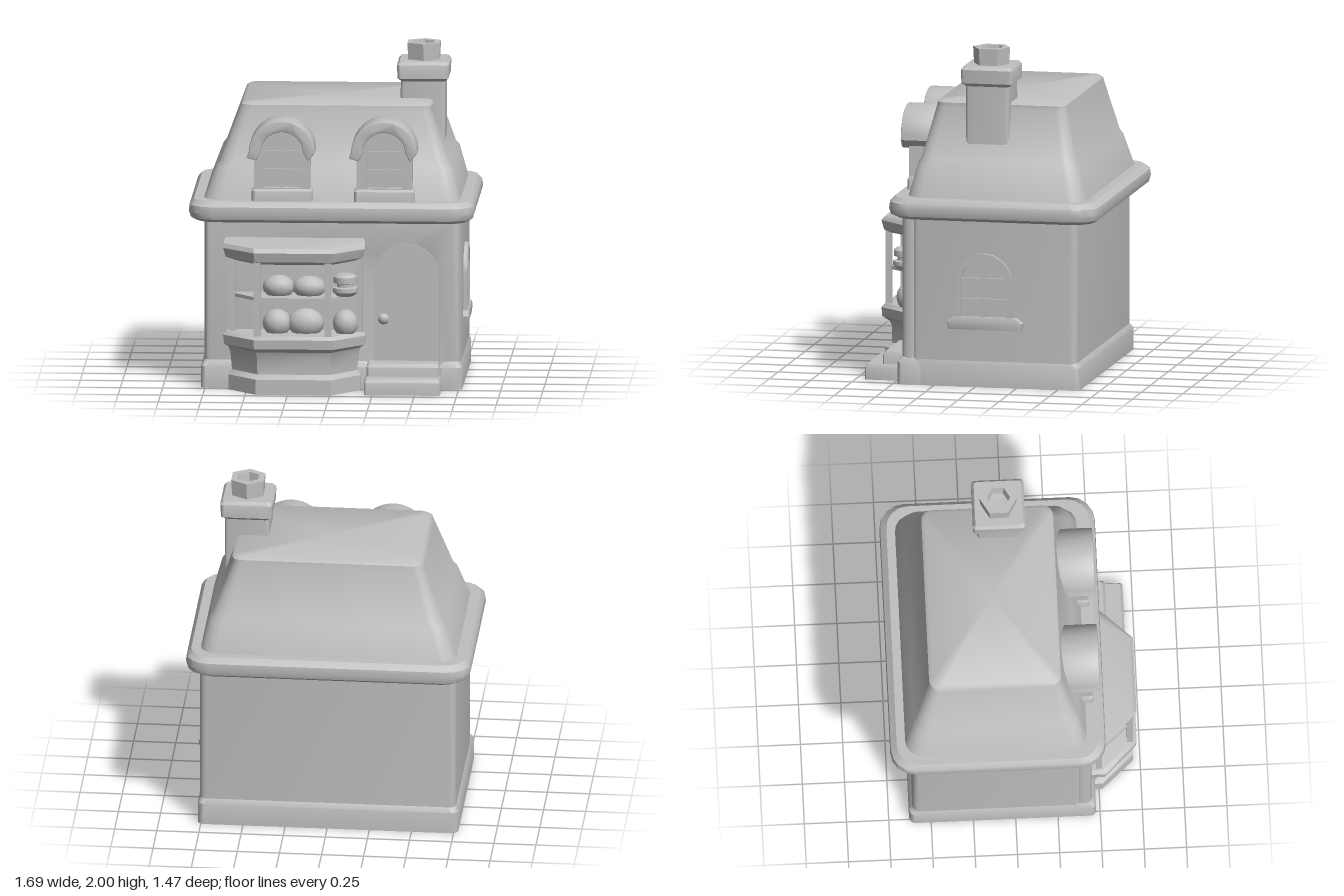
import * as THREE from 'three';
import { toCreasedNormals } from 'three/addons/utils/BufferGeometryUtils.js';

const clay = new THREE.MeshStandardMaterial({ color: 0xbfbfbf });
clay.name = 'plain grey';

function add(parent, name, geo, x = 0, y = 0, z = 0) {
  const m = new THREE.Mesh(toCreasedNormals(geo, 0.65), clay);
  m.name = name;
  m.position.set(x, y, z);
  parent.add(m);
  return m;
}

// Closed solid through convex rings of [x, y, z], listed from bottom to top
function loft(rings) {
  const pos = [], n = rings[0].length;
  const mid = r => [0, 1, 2].map(k => r.reduce((s, p) => s + p[k], 0) / n);
  const lo = rings[0], hi = rings[rings.length - 1], cl = mid(lo), ch = mid(hi);
  for (let j = 0; j < n; j++) {
    const k = (j + 1) % n;
    for (let i = 0; i + 1 < rings.length; i++) {
      const a = rings[i], b = rings[i + 1];
      pos.push(...a[j], ...b[j], ...a[k], ...a[k], ...b[j], ...b[k]);
    }
    pos.push(...cl, ...lo[j], ...lo[k], ...ch, ...hi[k], ...hi[j]);
  }
  const g = new THREE.BufferGeometry();
  g.setAttribute('position', new THREE.Float32BufferAttribute(pos, 3));
  g.computeVertexNormals();
  return g;
}

// Horizontal rounded rectangle
function rect(y, x0, x1, z0, z1, r) {
  const out = [];
  [[x1 - r, z1 - r], [x0 + r, z1 - r], [x0 + r, z0 + r], [x1 - r, z0 + r]].forEach(([cx, cz], q) => {
    for (let i = 0; i <= 4; i++) {
      const a = (q + i / 4) * Math.PI / 2;
      out.push([cx + r * Math.cos(a), y, cz + r * Math.sin(a)]);
    }
  });
  return out;
}
const block = rows => loft(rows.map(r => rect(...r)));

// Bay outline, pulled in by d at the front and by e at the sides
function bay(y, d, e = d) {
  const zs = Math.max(0.45, 0.54 - d), zf = 0.73 - d, l = -0.64 + e, r = 0.2 - e;
  return [[r, y, 0.42], [r, y, zs], [0.02 - e * 0.4, y, zf], [-0.45 + e * 0.4, y, zf], [l, y, zs], [l, y, 0.42]];
}

// Upright arch: half width w, from y0 to y1
function arch(w, y0, y1, x = 0, Type = THREE.Shape) {
  const s = new Type();
  s.moveTo(x - w, y0);
  s.lineTo(x + w, y0);
  s.lineTo(x + w, y1 - w);
  s.absarc(x, y1 - w, w, 0, Math.PI, false);
  s.closePath();
  return s;
}
const extrude = (shape, depth, opts = {}) =>
  new THREE.ExtrudeGeometry(shape, { depth, bevelEnabled: false, curveSegments: 10, ...opts });

// Pane with upright and cross bars, facing +z at z = 0
function glazing(parent, w, y0, y1) {
  add(parent, 'pane', extrude(arch(w, y0, y1), 0.008));
  add(parent, 'uprightBar', new THREE.BoxGeometry(0.022, y1 - y0, 0.03), 0, (y0 + y1) / 2, 0.015);
  for (const t of [0.33, 0.66])
    add(parent, 'crossBar', new THREE.BoxGeometry(w * 2, 0.018, 0.026), 0, y0 + (y1 - y0) * t, 0.013);
}

function group(parent, name, x = 0, y = 0, z = 0) {
  const g = new THREE.Group();
  g.name = name;
  g.position.set(x, y, z);
  parent.add(g);
  return g;
}

function dormer(parent, name, x) {
  const g = group(parent, name, x);
  const front = arch(0.165, 1.1, 1.57);
  front.holes.push(arch(0.105, 1.2, 1.51, 0, THREE.Path));
  add(g, 'dormerBody', extrude(front, 0.25), 0, 0, 0.215);
  glazing(group(g, 'dormerWindow', 0, 0, 0.415), 0.11, 1.19, 1.52);
  // Arched hood with slightly flared ends
  const hood = new THREE.Shape();
  hood.moveTo(0.195, 1.39);
  hood.absellipse(0, 1.42, 0.185, 0.18, 0, Math.PI, false);
  hood.lineTo(-0.195, 1.39);
  hood.lineTo(-0.155, 1.38);
  hood.absellipse(0, 1.42, 0.135, 0.13, Math.PI, 0, true);
  hood.lineTo(0.155, 1.38);
  hood.closePath();
  add(g, 'dormerHood', extrude(hood, 0.24, { bevelEnabled: true, bevelSize: 0.01, bevelThickness: 0.01, bevelSegments: 2 }), 0, 0, 0.26);
  add(g, 'dormerSill', block([
    [1.1, -0.18, 0.18, 0.3, 0.475, 0.02], [1.18, -0.18, 0.18, 0.3, 0.475, 0.02], [1.2, -0.17, 0.17, 0.3, 0.46, 0.02]]));
}

export function createModel() {
  const house = new THREE.Group();
  house.name = 'shopHouse';

  // Walls, with a front slab that leaves a recess for the door
  add(house, 'walls', block([[0.02, -0.76, 0.76, -0.61, 0.39, 0.04], [1.04, -0.76, 0.76, -0.61, 0.39, 0.04]]));
  const facade = new THREE.Shape([[-0.72, 0.05], [0.72, 0.05], [0.72, 1], [-0.72, 1]].map(p => new THREE.Vector2(...p)));
  facade.holes.push(arch(0.17, 0.1, 0.83, 0.44, THREE.Path));
  add(house, 'facade', extrude(facade, 0.02, { bevelEnabled: true, bevelSize: 0.035, bevelThickness: 0.04, bevelSegments: 3 }), 0, 0, 0.39);
  add(house, 'plinthBack', block([
    [0, -0.775, 0.77, -0.63, 0.38, 0.04], [0.13, -0.775, 0.77, -0.63, 0.38, 0.04], [0.165, -0.755, 0.755, -0.605, 0.38, 0.04]]));
  for (const [a, b] of [[-0.775, 0.24], [0.62, 0.77]])
    add(house, 'plinthFront', block([
      [0, a, b, 0.3, 0.475, 0.03], [0.13, a, b, 0.3, 0.475, 0.03], [0.165, a + 0.02, b - 0.02, 0.3, 0.45, 0.03]]));

  // Eave and mansard roof
  add(house, 'eave', block([
    [0.995, -0.81, 0.8, -0.7, 0.49, 0.13], [1.015, -0.84, 0.83, -0.73, 0.525, 0.14], [1.05, -0.85, 0.84, -0.74, 0.535, 0.14],
    [1.09, -0.845, 0.835, -0.735, 0.53, 0.14], [1.12, -0.82, 0.81, -0.7, 0.5, 0.13]]));
  add(house, 'roof', block([
    [1.1, -0.77, 0.76, -0.655, 0.43, 0.1], [1.31, -0.69, 0.705, -0.595, 0.375, 0.08], [1.335, -0.67, 0.685, -0.58, 0.36, 0.08],
    [1.635, -0.56, 0.58, -0.505, 0.285, 0.06], [1.665, -0.55, 0.58, -0.5, 0.28, 0.06], [1.68, -0.53, 0.56, -0.48, 0.26, 0.05]]));
  dormer(house, 'rightDormer', -0.295);
  dormer(house, 'leftDormer', 0.31);

  // Chimney
  const chimney = group(house, 'chimney', 0.52, 0, -0.045);
  add(chimney, 'chimneyShaft', block([
    [1.42, -0.12, 0.13, -0.13, 0.13, 0.02], [1.7, -0.135, 0.13, -0.13, 0.13, 0.02], [1.8, -0.13, 0.13, -0.13, 0.13, 0.02]]));
  add(chimney, 'chimneyCap', block([
    [1.78, -0.13, 0.13, -0.13, 0.13, 0.02], [1.8, -0.15, 0.15, -0.155, 0.155, 0.02],
    [1.88, -0.155, 0.155, -0.155, 0.155, 0.02], [1.9, -0.14, 0.14, -0.14, 0.14, 0.02]]));
  const pot = [[0.105, 1.88], [0.112, 2], [0.07, 2], [0.06, 1.93], [0, 1.925]].map(p => new THREE.Vector2(...p));
  add(chimney, 'chimneyPot', new THREE.LatheGeometry(pot, 6));

  // Shop bay
  const shop = group(house, 'shopBay');
  add(shop, 'bayBase', loft([
    bay(0, 0.02, 0.03), bay(0.09, 0.02, 0.03), bay(0.115, 0.06, 0.05), bay(0.22, 0.06, 0.04), bay(0.28, 0.03, 0.02)]));
  add(shop, 'baySill', loft([bay(0.25, 0.04), bay(0.275, 0.005), bay(0.33, 0), bay(0.35, 0.02)]));
  add(shop, 'bayShelf', loft([bay(0.555, 0.05), bay(0.575, 0.05)]));
  add(shop, 'bayRoof', loft([
    bay(0.775, 0.05), bay(0.795, 0.015), bay(0.85, 0), bay(0.875, 0.02, 0), bay(0.9, 0.26, 0.01)]));
  for (const [x, z] of [[-0.59, 0.5], [-0.43, 0.69], [-0.01, 0.69], [0.165, 0.5]])
    add(shop, 'bayPost', new THREE.BoxGeometry(0.04, 0.46, 0.035), x, 0.565, z);
  for (const [x, y, r, h] of [[-0.32, 0.35, 0.085, 0.14], [-0.15, 0.35, 0.11, 0.145], [0.085, 0.35, 0.075, 0.14],
    [-0.31, 0.575, 0.095, 0.12], [-0.13, 0.575, 0.1, 0.115]]) {
    const loaf = add(shop, 'loaf', new THREE.SphereGeometry(1, 12, 8), x, y + h * 0.4, 0.55);
    loaf.scale.set(r, h * 0.6, 0.075);
  }
  const cake = [[0, 0.57], [0.05, 0.575], [0.075, 0.6], [0.075, 0.625], [0.05, 0.63], [0.05, 0.65], [0.07, 0.655], [0.07, 0.69], [0.05, 0.705], [0, 0.705]];
  add(shop, 'cake', new THREE.LatheGeometry(cake.map(p => new THREE.Vector2(...p)), 14), 0.085, 0, 0.57);

  // Door, with arched light, trim and knob
  const door = group(house, 'door', 0.44, 0, 0.385);
  const leaf = arch(0.18, 0.1, 0.84);
  leaf.holes.push(arch(0.095, 0.53, 0.76, 0, THREE.Path));
  add(door, 'doorLeaf', extrude(leaf, 0.025));
  glazing(door, 0.1, 0.52, 0.765);
  add(door, 'doorPanel', new THREE.BoxGeometry(0.18, 0.24, 0.012), 0, 0.34, 0.03);
  const trim = arch(0.195, 0.16, 0.87);
  trim.holes.push(arch(0.17, 0.15, 0.83, 0, THREE.Path));
  add(door, 'doorTrim', extrude(trim, 0.015), 0, 0, 0.063);
  const knob = add(door, 'doorKnob', new THREE.SphereGeometry(0.038, 10, 8), -0.135, 0.42, 0.06);
  knob.scale.z = 1.1;
  add(house, 'lowerStep', block([
    [0, 0.2, 0.65, 0.4, 0.695, 0.015], [0.075, 0.2, 0.65, 0.4, 0.695, 0.015], [0.095, 0.21, 0.64, 0.4, 0.68, 0.015]]));
  add(house, 'upperStep', block([
    [0.05, 0.21, 0.64, 0.36, 0.59, 0.015], [0.15, 0.21, 0.64, 0.36, 0.59, 0.015], [0.17, 0.22, 0.63, 0.36, 0.575, 0.015]]));

  // Window on the left wall
  const side = group(house, 'sideWindow', 0.755, 0, -0.05);
  side.rotation.y = Math.PI / 2;
  const frame = arch(0.17, 0.4, 0.8);
  frame.holes.push(arch(0.135, 0.41, 0.765, 0, THREE.Path));
  add(side, 'windowFrame', extrude(frame, 0.028));
  glazing(side, 0.14, 0.4, 0.77);
  add(side, 'windowSill', block([
    [0.345, -0.21, 0.23, -0.05, 0.035, 0.01], [0.39, -0.22, 0.24, -0.05, 0.04, 0.01], [0.42, -0.18, 0.2, -0.05, 0.035, 0.01]]));

  return house;
}
